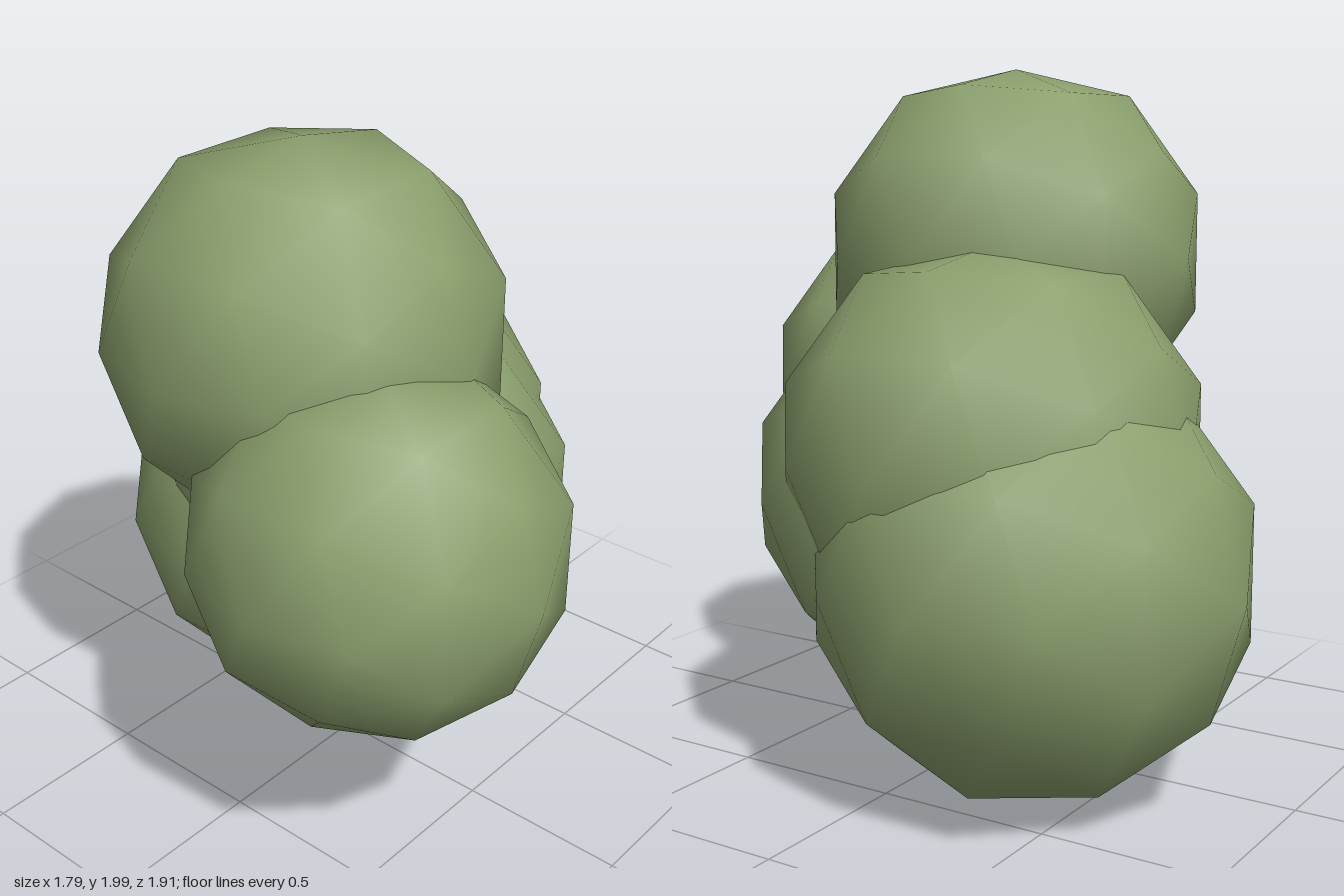
import * as THREE from 'three';

// Low-poly ball with smooth normals and a slightly flattened crown
function makeBall(radius) {
  const geometry = new THREE.IcosahedronGeometry(radius, 1);
  const p = geometry.attributes.position;
  for (let i = 0; i < p.count; i++) {
    if (p.getY(i) > 0.95 * radius) p.setY(i, 0.945 * radius);
  }
  return geometry;
}

export function createModel() {
  const group = new THREE.Group();
  group.name = 'foliageCluster';
  const material = new THREE.MeshStandardMaterial({ color: 0x8a9e6c });

  // name, centre, radius of each overlapping clump
  const clumps = [
    ['topClump', [-0.18, 1.464, 0], 0.565],
    ['frontRightClump', [-0.38, 1.043, 0.433], 0.518],
    ['middleClump', [0.165, 0.82, -0.015], 0.58],
    ['backLeftClump', [0.225, 0.947, -0.175], 0.6],
    ['bottomClump', [0.267, 0.63, -0.333], 0.625],
  ];
  for (const [name, centre, radius] of clumps) {
    const mesh = new THREE.Mesh(makeBall(radius), material);
    mesh.name = name;
    mesh.position.set(...centre);
    group.add(mesh);
  }
  return group;
}
